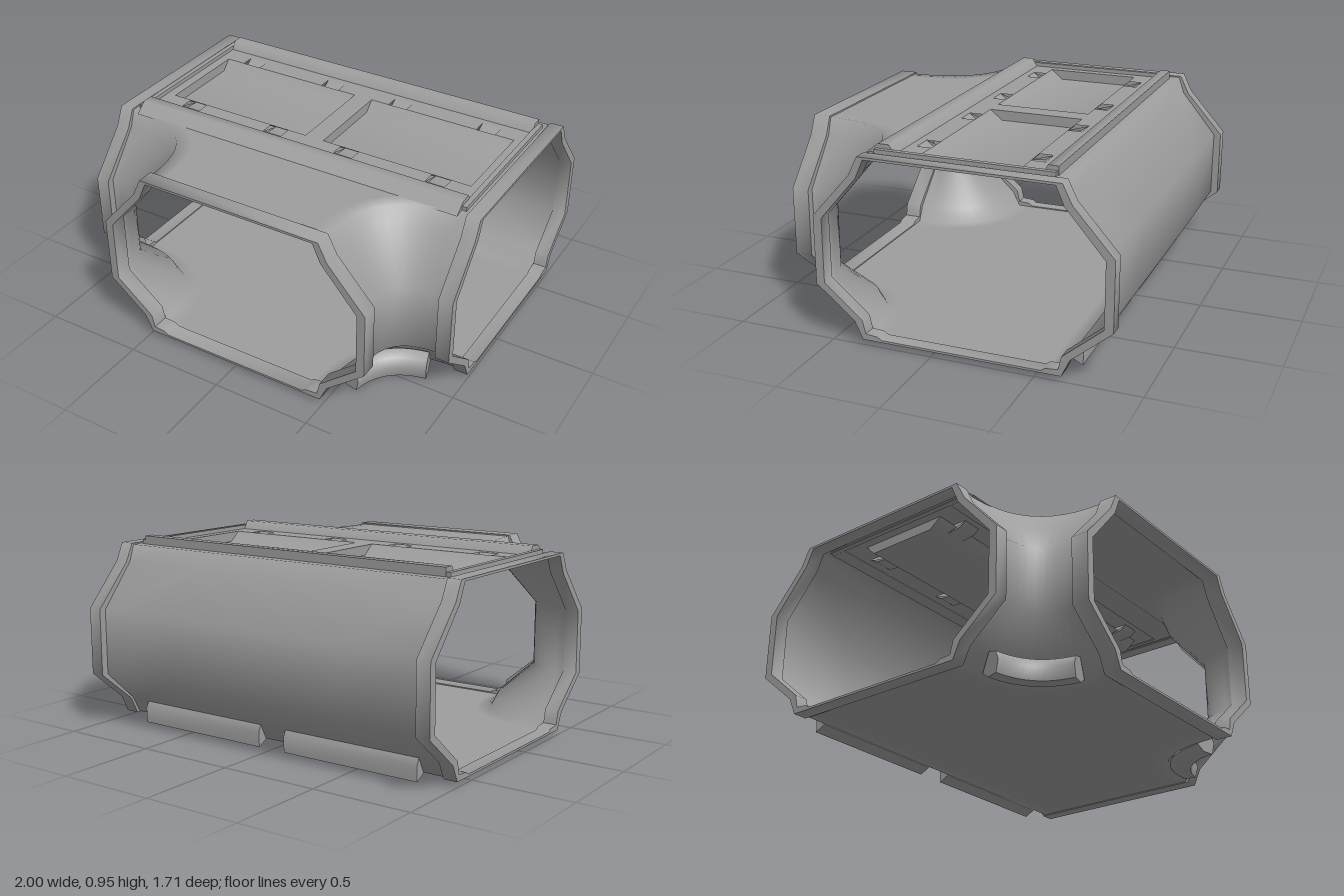
import * as THREE from 'three';
import { toCreasedNormals } from 'three/addons/utils/BufferGeometryUtils.js';

const ZC = -0.14;                       // centre line of the main corridor
const ROOF = 0.905, FLOOR = 0.03, END = 0.93, FRONT = 0.77;
const SLAB = 0.4;                       // half width of the flat roof and floor
const CREASE = 1.2;                     // softer bends than this are shaded smooth
const grey = new THREE.MeshStandardMaterial({ color: 0x9e9e9e, side: THREE.DoubleSide });

// Half section of a corridor wall, with its turned-in edges: [distance from centre line, height]
const WALL = [[SLAB, ROOF], [0.47, ROOF], [0.5, 0.82], [0.68, 0.6], [0.68, 0.27], [0.51, 0.11], [0.47, FLOOR], [SLAB, FLOOR]];
const RING_OUT = [[0.48, 0.912], [0.525, 0.82], [0.717, 0.605], [0.717, 0.27], [0.525, 0.11], [0.485, 0.025]];
const RING_IN = [[0.45, 0.9], [0.49, 0.81], [0.675, 0.595], [0.675, 0.28], [0.485, 0.12], [0.47, 0.055], [0.41, 0.05], [0.39, 0.036]];

const closed = half => [...half, ...half.map(([o, y]) => [-o, y]).reverse()];
const shapeOf = pts => new THREE.Shape(pts.map(p => new THREE.Vector2(p[0], p[1])));

function add(group, name, geometry) {
  const mesh = new THREE.Mesh(geometry, grey);
  mesh.name = name;
  group.add(mesh);
  return mesh;
}

// Skin a surface over rows of [x, y, z] points
function loft(rows) {
  const n = rows[0].length, index = [];
  for (let i = 0; i < rows.length - 1; i++) {
    for (let j = 0; j < n - 1; j++) {
      const a = i * n + j, b = a + n;
      index.push(a, b, a + 1, b, b + 1, a + 1);
    }
  }
  const g = new THREE.BufferGeometry();
  g.setAttribute('position', new THREE.Float32BufferAttribute(rows.flat(2), 3));
  g.setIndex(index);
  g.computeVertexNormals();
  return g;
}

// Loft for the left side, or its mirror image for the right, facing the same way
const sideLoft = (rows, s) => loft(s > 0 ? rows : rows.map(r => r.map(([x, y, z]) => [-x, y, z])).reverse());

// Extrude a shape with soft bends
const extrude = (shape, depth) =>
  toCreasedNormals(new THREE.ExtrudeGeometry(shape, { depth, bevelEnabled: false }), CREASE);

// Extrude a [z, y] section along x
function prism(section, x0, x1, hole) {
  const s = shapeOf(section.map(([z, y]) => [-z, y]));
  if (hole) s.holes.push(shapeOf(hole.map(([z, y]) => [-z, y])));
  return extrude(s, x1 - x0).rotateY(Math.PI / 2).translate(x0, 0, 0);
}

// Curved corner, in plan, from the corridor wall to the branch wall
function corner(o, t) {
  const u = 1 - t;
  return [u * u * END + (1 - u * u) * o, (1 - t * t) * (ZC + o) + t * t * FRONT];
}
const STEPS = [...Array(13).keys()].map(i => i / 12);

// Rows of a [distance, height] section swept round the corner between t0 and t1
const sweepCorner = (section, t0, t1) => STEPS.map(k => section.map(([o, y]) => {
  const [x, z] = corner(o, t0 + (t1 - t0) * k);
  return [x, y, z];
}));

// Flat slab outline shared by roof and floor
function planShape() {
  const right = STEPS.map(t => corner(SLAB, t));
  const left = right.map(([x, z]) => [-x, z]).reverse();
  return shapeOf([[-END, ZC - SLAB], [END, ZC - SLAB], ...right, ...left]);
}
const slab = (shape, y) => new THREE.ShapeGeometry(shape).rotateX(Math.PI / 2).translate(0, y, 0);

// Open channel running along x, with end caps
function trough(group, name, section, x0, x1) {
  const [a, b] = [Math.min(x0, x1), Math.max(x0, x1)];
  add(group, name, loft([a, b].map(x => section.map(([z, y]) => [x, y, z]))));
  for (const x of [a, b]) {
    add(group, name + 'End', new THREE.ShapeGeometry(shapeOf(section.map(([z, y]) => [-z, y])))
      .rotateY(Math.PI / 2).translate(x, 0, 0));
  }
}

const NOTCHES = [[0.15, 0.25], [0.64, 0.74]];

// Plan outline of a roof recess, including its four notches
function recessOutline(s) {
  const front = [], back = [];
  for (const [a, b] of NOTCHES) {
    front.push([a, 0.1], [a, 0.17], [b, 0.17], [b, 0.1]);
    back.push([a, -0.38], [a, -0.45], [b, -0.45], [b, -0.38]);
  }
  return [[0.05, 0.1], ...front, [0.84, 0.1], [0.84, -0.38], ...back.reverse(), [0.05, -0.38]]
    .map(([x, z]) => [s * x, z]);
}

export function createModel() {
  const model = new THREE.Group();
  model.name = 'corridorJunction';

  // Floor and roof slabs
  add(model, 'floor', slab(planShape(), FLOOR));
  const roof = planShape();
  for (const s of [1, -1]) roof.holes.push(shapeOf(recessOutline(s)));
  add(model, 'roof', slab(roof, ROOF));

  // Back wall, bowed very slightly outward
  add(model, 'backWall', loft([END, 0.5, 0, -0.5, -END].map(x =>
    WALL.map(([o, y]) => [x, y, ZC - o - (o > 0.6 ? 0.006 * (1 - x * x) : 0)]))));

  for (const s of [1, -1]) {
    const side = s > 0 ? 'left' : 'right';

    // Curved wall joining corridor and branch
    add(model, side + 'CornerWall', sideLoft(sweepCorner(WALL, 0, 1).reverse(), s));

    // Curved foot under the corner, capped at both ends
    const foot = [[0.48, 0.03], [0.52, 0], [0.58, 0], [0.595, 0.06], [0.575, 0.105], [0.525, 0.12], [0.48, 0.03]];
    const rows = sweepCorner(foot, 0.15, 0.87);
    const cap = row => row.map(() => [0, 1, 2].map(k => row.reduce((sum, p) => sum + p[k], 0) / row.length));
    add(model, side + 'CornerFoot',
      toCreasedNormals(sideLoft([cap(rows[0]), ...rows, cap(rows[rows.length - 1])], s), CREASE));

    // Skirt hugging the bottom of the back wall
    const skirt = [[-0.612, 0.028], [-0.665, 0], [-0.668, 0.075], [-0.652, 0.108]];
    add(model, side + 'BackSkirt', prism(skirt, s > 0 ? 0.075 : -0.82, s > 0 ? 0.82 : -0.075));

    // End ring
    const x0 = s > 0 ? END : -1;
    add(model, side + 'EndRing', prism(closed(RING_OUT), x0, x0 + 0.07, closed(RING_IN)))
      .position.z = ZC;

    // Roof recess with its notches
    trough(model, side + 'RoofRecess',
      [[0.1, ROOF], [0.04, 0.855], [-0.33, 0.855], [-0.38, ROOF]], s * 0.05, s * 0.84);
    for (const [a, b] of NOTCHES) {
      trough(model, side + 'FrontNotch', [[0.17, ROOF], [0.14, 0.88], [0.06, 0.872]], s * a, s * b);
      trough(model, side + 'BackNotch', [[-0.35, 0.875], [-0.41, 0.88], [-0.45, ROOF]], s * a, s * b);
    }

    // Low strip closing the roof frame
    add(model, side + 'RoofStrip', new THREE.BoxGeometry(0.025, 0.025, 0.86))
      .position.set(s * 0.9, 0.913, -0.13);
  }

  // Ring around the branch opening
  const ring = shapeOf(closed(RING_OUT));
  ring.holes.push(shapeOf(closed(RING_IN)));
  add(model, 'frontRing', extrude(ring, 0.085).translate(0, 0, FRONT));

  // Rails across the roof
  add(model, 'frontRoofRail',
    prism([[0.35, 0.9], [0.29, 0.947], [0.235, 0.947], [0.205, 0.9]], -0.89, 0.89));
  add(model, 'backRoofRail',
    prism([[-0.485, 0.9], [-0.515, 0.947], [-0.565, 0.947], [-0.565, 0.9]], -0.89, 0.89));

  return model;
}
